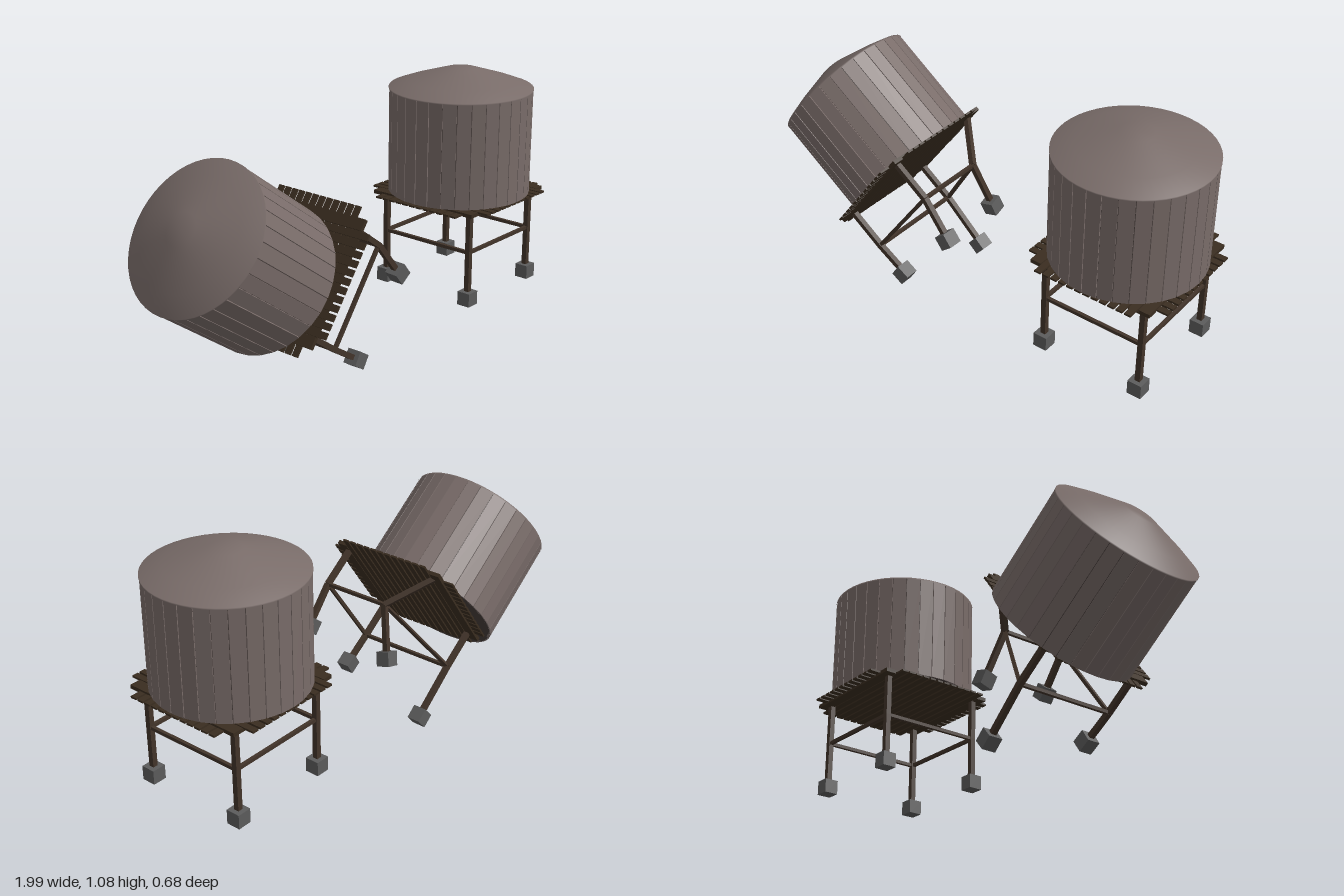
import * as THREE from 'three';

const mat = (color) => new THREE.MeshStandardMaterial({ color, roughness: 0.9, flatShading: true });
const staveMat = mat(0x796c69);
const seamMat = mat(0x453c39);
const roofMat = new THREE.MeshStandardMaterial({ color: 0x796c69, roughness: 0.9 });
const deckMat = mat(0x3a2d20);
const legMat = mat(0x42342a);
const footMat = mat(0x5c5c5c);

const R = 0.305; // barrel radius
const H = 0.455; // barrel wall height
const DROP = 0.18; // deck to brace height
const LEG = 0.2175;

function add(parent, name, geometry, material, x = 0, y = 0, z = 0) {
  const mesh = new THREE.Mesh(geometry, material);
  mesh.name = name;
  mesh.position.set(x, y, z);
  parent.add(mesh);
  return mesh;
}

// Square timber between two points
function beam(parent, name, a, b, size) {
  const dir = b.clone().sub(a);
  const mesh = add(parent, name, new THREE.BoxGeometry(size, dir.length(), size), legMat);
  mesh.position.copy(a).add(b).multiplyScalar(0.5);
  mesh.quaternion.setFromUnitVectors(new THREE.Vector3(0, 1, 0), dir.normalize());
  return mesh;
}

// Wooden barrel with vertical staves and a shallow roof; base at y = 0
function makeBarrel() {
  const barrel = new THREE.Group();
  barrel.name = 'barrel';
  const count = 32;
  add(barrel, 'barrelCore', new THREE.CylinderGeometry(R - 0.003, R - 0.003, H, count), seamMat, 0, H / 2, 0);
  const width = 2 * R * Math.tan(Math.PI / count) - 0.003;
  const staveGeo = new THREE.BoxGeometry(width, H, 0.012);
  for (let i = 0; i < count; i++) {
    const a = ((i + 0.5) / count) * Math.PI * 2;
    const stave = add(barrel, 'stave', staveGeo, staveMat,
      Math.sin(a) * (R - 0.005), H / 2, Math.cos(a) * (R - 0.005));
    stave.rotation.y = a;
  }
  const profile = [[0.309, -0.006], [0.309, 0], [0.228, 0.03], [0.068, 0.08], [0, 0.08]]
    .map(([x, y]) => new THREE.Vector2(x, y));
  add(barrel, 'roof', new THREE.LatheGeometry(profile, 48), roofMat, 0, H, 0);
  return barrel;
}

// Two crossed layers of planks with shorter planks at the edges; centred on y = 0
function makeDeck() {
  const deck = new THREE.Group();
  deck.name = 'deck';
  const pitch = 0.036;
  for (let layer = 0; layer < 2; layer++) {
    const planks = new THREE.Group();
    planks.name = layer ? 'upperPlanks' : 'lowerPlanks';
    planks.position.y = layer ? 0.004 : -0.004;
    planks.rotation.y = layer * Math.PI / 2;
    for (let i = 0; i < 12; i++) {
      add(planks, 'plank', new THREE.BoxGeometry(0.614, 0.008, pitch - 0.009), deckMat, 0, 0, (i - 5.5) * pitch);
    }
    for (const s of [-1, 1]) {
      add(planks, 'edgePlank', new THREE.BoxGeometry(0.524, 0.008, 0.046), deckMat, 0, 0, s * 0.239);
    }
    deck.add(planks);
  }
  return deck;
}

// Legs as [top, knee, foot] point lists in ring order, with braces between knees
function makeFrame(legs) {
  const frame = new THREE.Group();
  frame.name = 'legFrame';
  legs.forEach(([top, knee, foot], i) => {
    beam(frame, 'upperLeg', top, knee, 0.022);
    const lower = beam(frame, 'lowerLeg', knee, foot, 0.022);
    const block = add(frame, 'foot', new THREE.BoxGeometry(0.06, 0.06, 0.06), footMat);
    block.position.copy(foot);
    block.quaternion.copy(lower.quaternion);
    beam(frame, 'brace', knee, legs[(i + 1) % 4][1], 0.014);
  });
  return frame;
}

const corners = [[1, 1], [1, -1], [-1, -1], [-1, 1]];
const vec = (x, y, z) => new THREE.Vector3(x, y, z);

export function createModel() {
  const model = new THREE.Group();
  model.name = 'waterTowers';

  // Standing tower
  const standing = new THREE.Group();
  standing.name = 'standingTower';
  standing.position.set(0.687, 0.535, 0.03);
  const barrel = makeBarrel();
  barrel.position.y = 0.008;
  standing.add(barrel, makeDeck(), makeFrame(corners.map(([sx, sz]) => [
    vec(sx * LEG, 0, sz * 0.222),
    vec(sx * LEG, -DROP, sz * 0.222),
    vec(sx * LEG, -0.383, sz * 0.222),
  ])));
  model.add(standing);

  // Toppled tower: tilted deck, with the barrel slipped off centre
  const toppled = new THREE.Group();
  toppled.name = 'toppledTower';
  toppled.position.set(-0.4, 0.487, 0.03);
  toppled.rotation.z = THREE.MathUtils.degToRad(53.8);
  const slipped = makeBarrel();
  slipped.position.set(-0.064, 0.009, -0.063);
  toppled.add(slipped, makeDeck());
  model.add(toppled);

  // Its buckled legs, in the same ring order as the corners
  const feet = [vec(-0.01, 0.41, 0.255), vec(-0.07, 0.35, -0.108), vec(-0.198, 0.043, -0.187), vec(-0.256, 0.122, 0.25)];
  toppled.updateMatrix();
  const legs = corners.map(([sx, sz], i) => {
    const top = vec(sx * LEG, 0, sz * 0.222).applyMatrix4(toppled.matrix);
    const knee = vec(sx * LEG, -DROP, sz * 0.222).applyMatrix4(toppled.matrix);
    if (i === 1) knee.z = -0.05;
    return [top, knee, feet[i]];
  });
  const buckled = makeFrame(legs);
  buckled.name = 'buckledLegFrame';
  model.add(buckled);

  return model;
}
